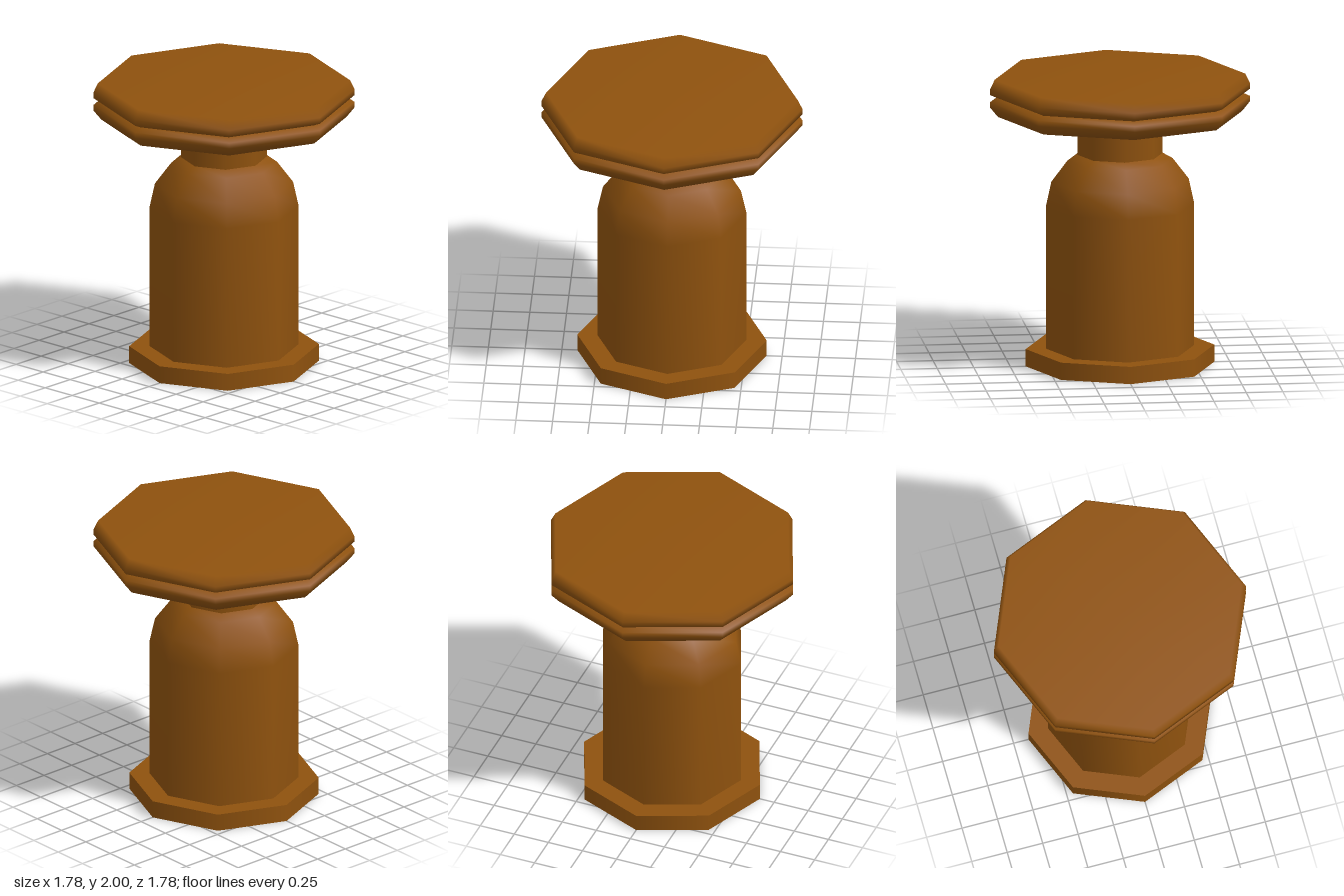
import * as THREE from 'three';

const SIDES = 8;

export function createModel() {
  const group = new THREE.Group();
  const bronze = new THREE.MeshStandardMaterial({ color: 0x8f520e });
  bronze.name = 'bronze';

  const add = (name, geometry, y = 0) => {
    const mesh = new THREE.Mesh(geometry, bronze);
    mesh.name = name;
    mesh.position.y = y;
    group.add(mesh);
  };

  // Smooth eight-sided turning from [radius, height] pairs, bottom to top
  const turned = (profile) =>
    new THREE.LatheGeometry(profile.map(([r, y]) => new THREE.Vector2(r, y)), SIDES);

  // Flat foot with sharp rims
  add('base', new THREE.CylinderGeometry(0.645, 0.645, 0.12, SIDES), 0.06);

  // Straight body rounding into the shoulder
  add('body', turned([
    [0.507, 0.12], [0.507, 1.11], [0.47, 1.28], [0.36, 1.425], [0.29, 1.465],
  ]));

  // Narrow neck under the cap
  add('neck', new THREE.CylinderGeometry(0.292, 0.292, 0.28, SIDES, 1, true), 1.603);

  // Cap made of two discs meeting in a groove
  add('lowerDisc', turned([
    [0, 1.74], [0.835, 1.74], [0.888, 1.805], [0.888, 1.845], [0.835, 1.87],
  ]));
  add('upperDisc', turned([
    [0.835, 1.87], [0.888, 1.893], [0.888, 1.935], [0.857, 2], [0, 2],
  ]));

  return group;
}
